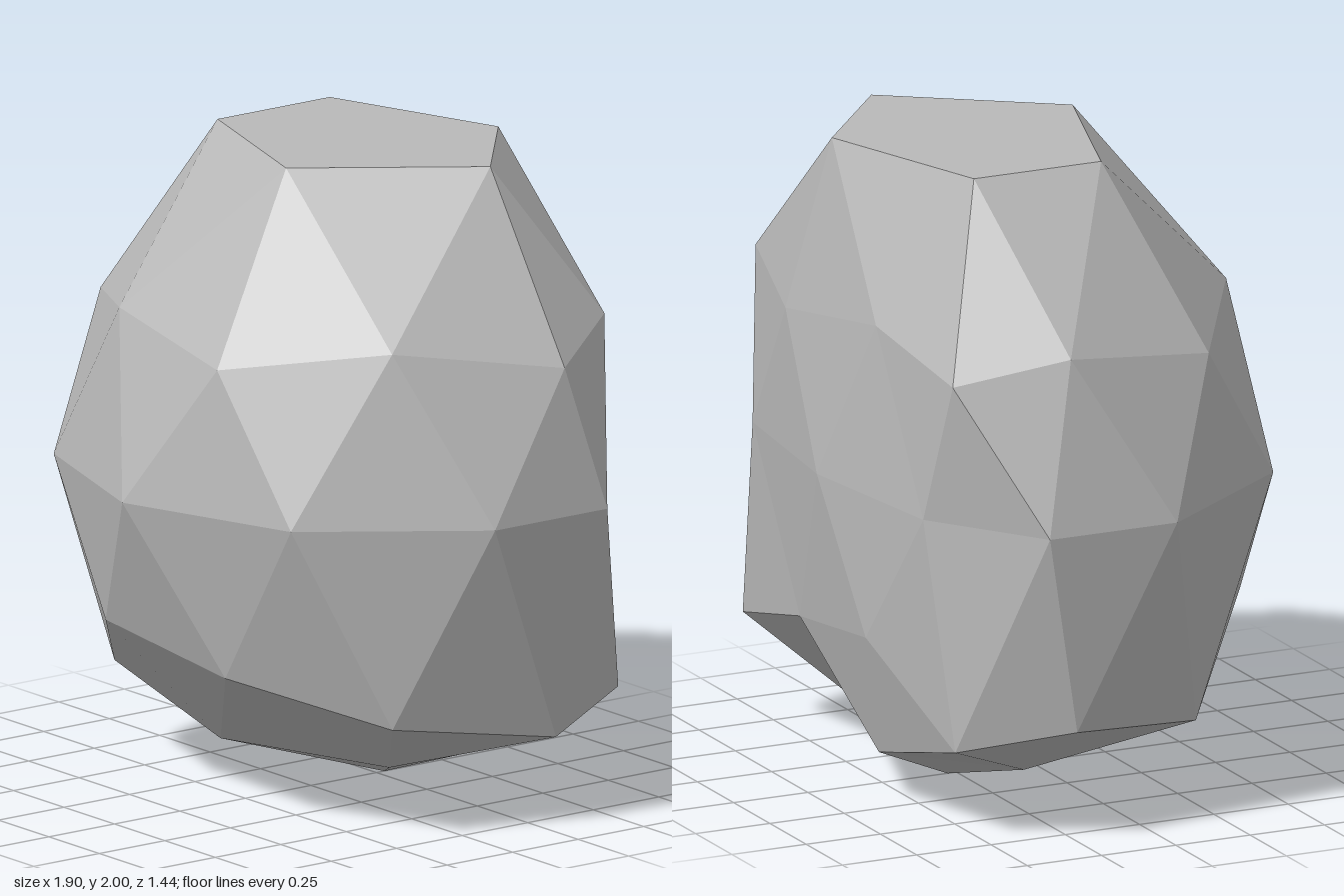
import * as THREE from 'three';

// Low-poly boulder: a subdivided icosahedron with a flat top, a pressed-in back and a sagging base.
export function createModel() {
  const group = new THREE.Group();
  group.name = 'boulder';

  const stone = new THREE.MeshStandardMaterial({ color: 0xb8b8b8 });
  stone.name = 'stone grey';
  stone.flatShading = true;

  const geometry = new THREE.IcosahedronGeometry(1, 1);
  // Stand the ball on one of its corners
  geometry.rotateZ(-Math.atan(2 / (1 + Math.sqrt(5))));

  const p = geometry.attributes.position;
  for (let i = 0; i < p.count; i++) {
    let y = p.getY(i);
    let z = p.getZ(i);

    // Flat top
    if (y > 0.8) y = 1;
    // Lower sides sag, except at the far front and back
    if (y < -0.4 && y > -0.6 && Math.abs(z) < 0.7) y -= 0.19;

    // Back pressed in, in three steps
    if (z < -0.95) z += 0.56;
    else if (z < -0.7) z += 0.44;
    else if (z < -0.2) z += 0.19;

    p.setY(i, y + 1);
    p.setZ(i, z - 0.28);
  }
  geometry.computeVertexNormals();

  const rock = new THREE.Mesh(geometry, stone);
  rock.name = 'rock';
  group.add(rock);
  return group;
}
